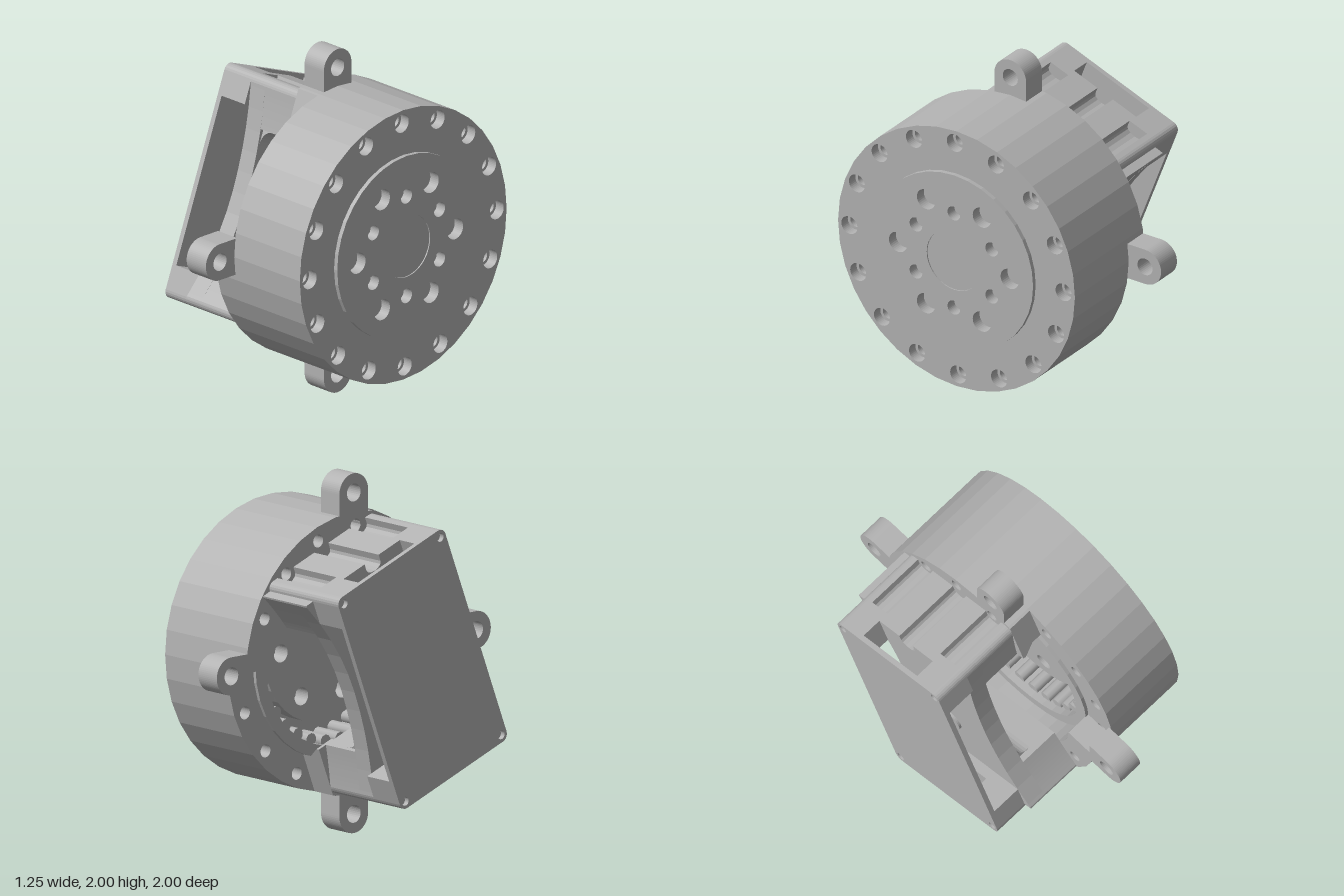
import * as THREE from 'three';

const metal = new THREE.MeshStandardMaterial({ color: 0xb2b2b2 });
metal.name = 'machinedGrey';
const rad = THREE.MathUtils.degToRad;
const TILT = rad(21);

// closed shape from [a, b] points
const poly = (pts) => new THREE.Shape(pts.map(([a, b]) => new THREE.Vector2(a, b)));
const disc = (r) => new THREE.Shape().absarc(0, 0, r, 0, Math.PI * 2, false);
const polar = (r, deg) => [r * Math.cos(rad(deg)), r * Math.sin(rad(deg))];

function punch(shape, a, b, r) {
  shape.holes.push(new THREE.Path().absarc(a, b, r, 0, Math.PI * 2, true));
  return shape;
}

// even ring of holes at radius R
function punchRing(shape, count, R, r, start) {
  for (let i = 0; i < count; i++) {
    const t = start + (i * Math.PI * 2) / count;
    punch(shape, R * Math.cos(t), R * Math.sin(t), r);
  }
  return shape;
}

function extrude(parent, name, shape, from, depth, segments) {
  const g = new THREE.ExtrudeGeometry(shape, { depth, bevelEnabled: false, curveSegments: segments });
  g.translate(0, 0, from);
  const m = new THREE.Mesh(g, metal);
  m.name = name;
  parent.add(m);
  return m;
}

// slab of a cross-section between two stations along x (local z is -x)
const slab = (parent, name, shape, x0, x1, segments = 16) => extrude(parent, name, shape, -x1, x1 - x0, segments);

// slab of a side profile, drawn as [-x, v], across the housing width u
function crossSlab(parent, name, shape, u0, u1) {
  extrude(parent, name, shape, -u1, u1 - u0, 8).rotation.y = -Math.PI / 2;
}

function buildDrum(frame) {
  const start = rad(89.1);

  // front rim with countersunk bolt holes, and main ring
  const rim = punchRing(punch(disc(0.785), 0, 0, 0.525), 16, 0.71, 0.053, start);
  slab(frame, 'frontRim', rim, 0.54, 0.6, 18);
  const ring = punchRing(punch(disc(0.785), 0, 0, 0.6), 16, 0.71, 0.036, start);
  slab(frame, 'drumRing', ring, 0.09, 0.54, 18);

  // rear ring in two arcs, leaving a gap on either flank
  for (let half = 0; half < 2; half++) {
    const pts = [[0.417, 0.664]];
    for (let d = 59; d <= 159; d += 10) pts.push(polar(0.785, d));
    for (let d = 159; d >= 46; d -= 10) pts.push(polar(0.6, d));
    pts.push([0.417, 0.431]);
    const arc = poly(pts);
    for (let d = 68; d < 150; d += 22.5) punch(arc, ...polar(0.71, d), 0.036);
    slab(frame, 'rearRing', arc, -0.06, 0.09).rotation.z = TILT + half * Math.PI;
  }

  // output flange
  const flange = punch(disc(0.525), 0, 0, 0.18);
  punchRing(flange, 6, 0.37, 0.06, 0);
  punchRing(flange, 6, 0.29, 0.042, Math.PI / 6);
  slab(frame, 'outputFlange', flange, 0.56, 0.625, 18);
  slab(frame, 'flangeHub', disc(0.18), 0.55, 0.618);
  slab(frame, 'drumCore', disc(0.602), 0.3, 0.56, 18);

  // roller bearing inside the rear recess
  slab(frame, 'bearingInnerRace', punchRing(disc(0.42), 6, 0.3, 0.05, 0), 0.2, 0.3, 18);
  slab(frame, 'bearingOuterRace', punch(disc(0.602), 0, 0, 0.53), 0.07, 0.3, 18);
  for (let i = 0; i < 30; i++) {
    const t = (i * Math.PI * 2) / 30;
    const roller = new THREE.Mesh(new THREE.CylinderGeometry(0.036, 0.036, 0.18, 10), metal);
    roller.name = 'bearingRoller';
    roller.rotation.x = Math.PI / 2;
    roller.position.set(0.51 * Math.cos(t), 0.51 * Math.sin(t), -0.2);
    frame.add(roller);
  }

  // four mounting ears
  for (let i = 0; i < 4; i++) {
    const ear = new THREE.Shape();
    ear.moveTo(0.762, -0.105);
    ear.lineTo(0.895, -0.105);
    ear.absarc(0.895, 0, 0.105, -Math.PI / 2, Math.PI / 2, false);
    ear.lineTo(0.762, 0.105);
    slab(frame, 'mountingEar', punch(ear, 0.893, 0, 0.05), -0.06, 0.09).rotation.z = (i * Math.PI) / 2;
  }
}

// hollowed flank of the housing: half width at height v
const flankWidth = (v) => 0.33 + (v > 0 ? 0.087 : 0.14) * (v / 0.61) ** 2;
function flank(v0, v1, sign = 1) {
  const pts = [];
  for (let i = 0; i <= 10; i++) {
    const v = v0 + ((v1 - v0) * i) / 10;
    pts.push([sign * flankWidth(v), sign * v]);
  }
  return pts;
}

// shallow round-bottomed groove in the top edge, listed right to left
function groove(c, w) {
  const pts = [[c + w, 0.664]];
  for (let i = 0; i <= 6; i++) {
    const t = (i * Math.PI) / 6;
    pts.push([c + w * Math.cos(t), 0.625 - 0.03 * Math.sin(t)]);
  }
  pts.push([c - w, 0.664]);
  return pts;
}

// corner rounding of the box, side = 1 or -1, listed right to left
function corner(side) {
  const pts = [];
  for (let i = 0; i <= 5; i++) {
    const [a, b] = polar(0.042, (side > 0 ? 0 : 90) + i * 18);
    pts.push([side * 0.375 + a, 0.622 + b]);
  }
  return pts;
}

function buildHousing(frame) {
  const housing = new THREE.Group();
  housing.name = 'rearHousing';
  housing.rotation.z = TILT;
  frame.add(housing);

  // cover plate with corner screw holes
  const upper = [...corner(1), ...corner(-1)];
  const cover = poly([...upper, ...upper.map(([a, b]) => [-a, -b])]);
  for (const a of [-1, 1]) for (const b of [-1, 1]) punch(cover, a * 0.375, b * 0.622, 0.025);
  slab(housing, 'coverPlate', cover, -0.62, -0.59);

  // bulkhead with hollowed flanks and two bolt heads
  slab(housing, 'bulkhead', poly([...flank(-0.59, 0.59), ...flank(-0.59, 0.59, -1)]), -0.41, -0.3);
  for (const b of [-0.16, 0.16]) {
    slab(housing, 'boltHead', disc(0.07), -0.425, -0.41).position.y = b;
  }

  // both ends, the second turned half way round
  for (let i = 0; i < 2; i++) {
    const end = new THREE.Group();
    end.name = 'housingEnd';
    end.rotation.z = i * Math.PI;
    housing.add(end);

    // grooved block between box and drum, wider on one flank
    const block = [
      ...flank(0.375, 0.61), ...corner(1),
      ...groove(0.28, 0.062), ...groove(0, 0.055), ...groove(-0.28, 0.062),
      ...corner(-1), [-0.47, 0.621], ...flank(-0.61, -0.375, -1),
    ];
    slab(end, 'groovedBlock', poly(block), -0.41, -0.06);

    // end wall and the two posts framing its window
    const wall = [[0.417, 0.48], ...corner(1), ...groove(0, 0.055), ...corner(-1), [-0.417, 0.48]];
    slab(end, 'endWall', poly(wall), -0.47, -0.41);
    slab(end, 'windowPost', poly([[0.22, 0.48], [0.417, 0.48], ...corner(1), [0.22, 0.664]]), -0.59, -0.47);
    slab(end, 'windowPost', poly([[-0.22, 0.664], ...corner(-1), [-0.417, 0.48], [-0.22, 0.48]]), -0.59, -0.47);

    // rounded corner of the side opening
    const fillet = new THREE.Shape();
    fillet.moveTo(0.3, 0.375);
    fillet.lineTo(0.21, 0.375);
    fillet.quadraticCurveTo(0.3, 0.375, 0.3, 0.285);
    crossSlab(end, 'openingFillet', fillet, -0.34, 0.34);

    // bevelled shoulder reaching into the drum
    const shoulder = [[0.06, 0.375], [0.04, 0.375], [-0.09, 0.483], [-0.09, 0.662], [0.06, 0.662]];
    crossSlab(end, 'flankShoulder', poly(shoulder), 0.3, 0.417);
  }
}

export function createModel() {
  const model = new THREE.Group();
  model.name = 'geared actuator';
  // section frame: local x = front, local y = up, local z = -x
  const frame = new THREE.Group();
  frame.name = 'sectionFrame';
  frame.rotation.y = -Math.PI / 2;
  frame.position.y = 1;
  model.add(frame);
  buildDrum(frame);
  buildHousing(frame);
  return model;
}
